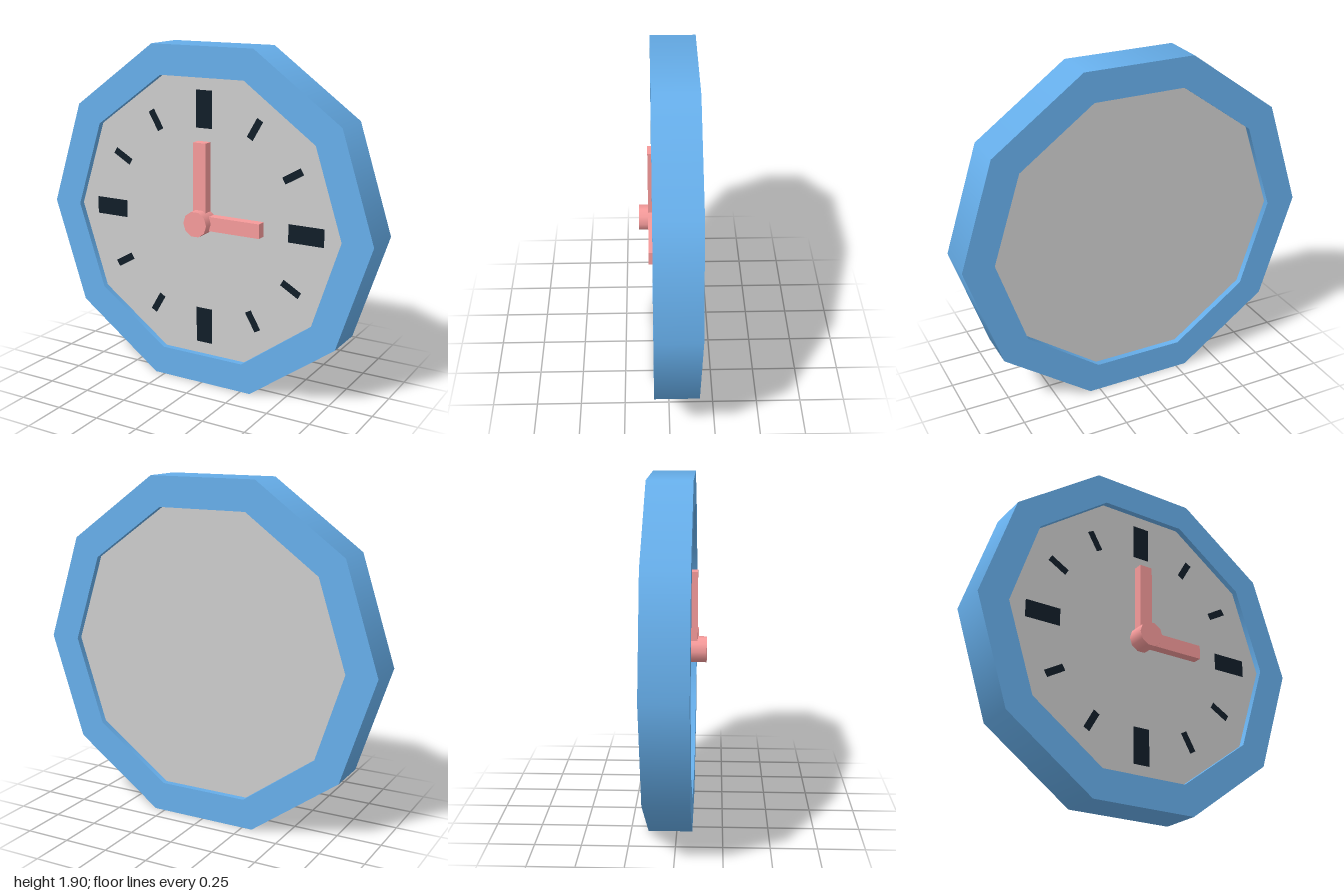
import * as THREE from 'three';

const SIDES = 10, CY = 0.951;
const FRONT = 0.085, BACK = -0.155;   // frame depth
const DIAL_F = 0.05, DIAL_B = -0.12;  // recessed dial depth
const INNER = 0.826;

const mat = (color, side = THREE.FrontSide) => new THREE.MeshStandardMaterial({ color, side });

export function createModel() {
  const model = new THREE.Group();
  const clock = new THREE.Group();
  clock.name = 'wallClock';
  clock.position.y = CY;
  model.add(clock);

  const blue = mat(0x66aeea), blueInside = mat(0x66aeea, THREE.BackSide);
  const grey = mat(0xcccccc), dark = mat(0x111d28), pink = mat(0xf59a9a);

  const add = (parent, name, geometry, material, x = 0, y = 0, z = 0) => {
    const mesh = new THREE.Mesh(geometry, material);
    mesh.name = name;
    mesh.position.set(x, y, z);
    parent.add(mesh);
    return mesh;
  };
  // Ten-sided cylinder along z with a corner on the +x axis
  const prism = (r, z0, z1, open = false) =>
    new THREE.CylinderGeometry(r, r, z1 - z0, SIDES, 1, open, Math.PI / 2)
      .rotateX(Math.PI / 2).translate(0, 0, (z0 + z1) / 2);

  // Frame: softly shaded outer and inner walls with flat rings front and back
  const frame = new THREE.Group();
  frame.name = 'frame';
  clock.add(frame);
  add(frame, 'outerWall', prism(1, BACK, FRONT, true), blue);
  add(frame, 'innerWall', prism(INNER, BACK, FRONT, true), blueInside);
  const ring = new THREE.RingGeometry(INNER, 1, SIDES);
  add(frame, 'frontRing', ring, blue, 0, 0, FRONT);
  add(frame, 'backRing', ring.clone().rotateX(Math.PI), blue, 0, 0, BACK);

  // Recessed dial
  add(clock, 'dial', prism(INNER, DIAL_B, DIAL_F), grey);

  // Hour marks, larger at each quarter
  const bigMark = new THREE.PlaneGeometry(0.1, 0.205);
  const smallMark = new THREE.PlaneGeometry(0.04, 0.12);
  for (let i = 0; i < 12; i++) {
    const a = i * Math.PI / 6, r = 0.614;
    const mark = add(clock, 'hourMark', i % 3 ? smallMark : bigMark, dark,
      Math.sin(a) * r, Math.cos(a) * r, DIAL_F + 0.003);
    mark.rotation.z = -a;
  }

  // Hands and hub
  const depth = 0.105 - DIAL_F, hz = DIAL_F + depth / 2;
  add(clock, 'minuteHand', new THREE.BoxGeometry(0.077, 0.44, depth), pink, 0, 0.22, hz);
  add(clock, 'hourHand', new THREE.BoxGeometry(0.365, 0.08, depth), pink, 0.1825, 0, hz);
  add(clock, 'hub', prism(0.072, DIAL_F, 0.155), pink);

  return model;
}
